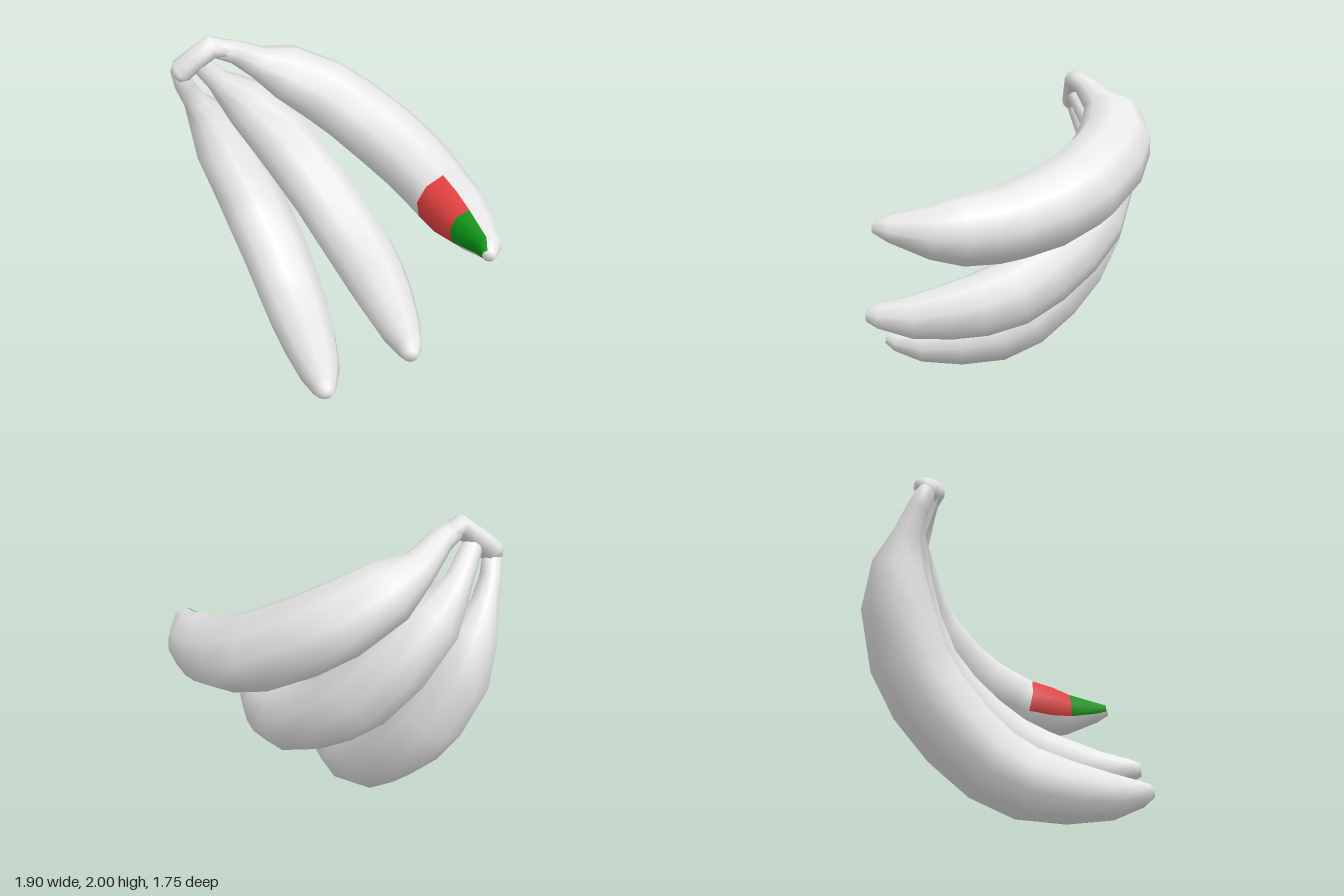
import * as THREE from 'three';

const SIDES = 10;
const skin = new THREE.MeshStandardMaterial({ color: 0xebebeb, name: 'pale grey' });
const red = new THREE.MeshStandardMaterial({ color: 0xe34040, name: 'red' });
const green = new THREE.MeshStandardMaterial({ color: 0x0c9614, name: 'green' });

// Skins round sections [x, y, z, radius]; squash scales them across the bend,
// patch(i, j) picks the material of each face.
function loft(name, rows, squash = 1, patch = () => 0) {
  const pts = rows.map(r => new THREE.Vector3(r[0], r[1], r[2]));
  const n = pts.length, mid = pts[Math.floor(n / 2)];
  const bend = mid.clone().sub(pts[0]).cross(pts[n - 1].clone().sub(mid)).normalize();
  const pos = [], faces = [[], [], []];
  rows.forEach((r, i) => {
    const t = pts[Math.min(i + 1, n - 1)].clone().sub(pts[Math.max(i - 1, 0)]).normalize();
    const u = bend.clone().addScaledVector(t, -bend.dot(t)).normalize();
    const v = t.clone().cross(u);
    for (let j = 0; j < SIDES; j++) {
      const a = j / SIDES * Math.PI * 2 + 0.14;
      const p = pts[i].clone().addScaledVector(u, Math.cos(a) * r[3] * squash).addScaledVector(v, Math.sin(a) * r[3]);
      pos.push(p.x, p.y, p.z);
    }
  });
  const start = n * SIDES, end = start + 1;
  for (const p of [pts[0], pts[n - 1]]) pos.push(p.x, p.y, p.z);
  for (let j = 0; j < SIDES; j++) {
    const k = (j + 1) % SIDES;
    for (let i = 0; i < n - 1; i++) {
      const a = i * SIDES + j, b = i * SIDES + k;
      faces[patch(i, j)].push(a, b, a + SIDES, b, b + SIDES, a + SIDES);
    }
    faces[0].push(start, k, j, end, (n - 1) * SIDES + j, (n - 1) * SIDES + k);
  }
  const g = new THREE.BufferGeometry();
  g.setAttribute('position', new THREE.Float32BufferAttribute(pos, 3));
  g.setIndex(faces.flat());
  let offset = 0;
  faces.forEach((f, m) => {
    if (f.length) g.addGroup(offset, f.length, m);
    offset += f.length;
  });
  g.computeVertexNormals();
  const mesh = new THREE.Mesh(g, [skin, red, green]);
  mesh.name = name;
  return mesh;
}

export function createModel() {
  const group = new THREE.Group();
  group.name = 'bananaBunch';

  // Upper banana, with a red and a green patch inside its tip
  group.add(loft('upperBanana', [
    [-0.68, 1.935, -0.47, 0.06], [-0.55, 1.875, -0.535, 0.08], [-0.4, 1.755, -0.62, 0.115],
    [-0.22, 1.655, -0.67, 0.2], [0.03, 1.51, -0.65, 0.24], [0.21, 1.4, -0.57, 0.25],
    [0.43, 1.26, -0.39, 0.255], [0.575, 1.17, -0.2, 0.245], [0.67, 1.11, 0, 0.23],
    [0.71, 1.085, 0.11, 0.22], [0.76, 1.07, 0.28, 0.205], [0.795, 1.07, 0.44, 0.158],
    [0.82, 1.095, 0.66, 0.08], [0.795, 1.1, 0.74, 0.04],
  ], 0.91, (i, j) => (j < 6 || j > 8 || i < 9 || i > 12 ? 0 : i < 11 ? 1 : 2)));

  // Middle banana
  group.add(loft('middleBanana', [
    [-0.77, 1.84, -0.48, 0.06], [-0.66, 1.66, -0.58, 0.08], [-0.49, 1.46, -0.65, 0.175],
    [-0.3, 1.23, -0.63, 0.215], [-0.13, 1.0, -0.53, 0.225], [0, 0.84, -0.38, 0.225],
    [0.11, 0.7, -0.2, 0.222], [0.21, 0.59, 0, 0.217], [0.27, 0.53, 0.2, 0.2],
    [0.307, 0.5, 0.38, 0.175], [0.34, 0.475, 0.6, 0.135], [0.357, 0.49, 0.8, 0.08],
    [0.35, 0.495, 0.87, 0.045],
  ]));

  // Lower banana
  group.add(loft('lowerBanana', [
    [-0.89, 1.78, -0.48, 0.055], [-0.87, 1.66, -0.53, 0.064], [-0.82, 1.52, -0.59, 0.08],
    [-0.74, 1.36, -0.64, 0.15], [-0.66, 1.13, -0.64, 0.207], [-0.54, 0.85, -0.57, 0.23],
    [-0.46, 0.66, -0.46, 0.235], [-0.37, 0.47, -0.29, 0.235], [-0.3, 0.31, -0.1, 0.227],
    [-0.245, 0.22, 0.1, 0.215], [-0.2, 0.178, 0.35, 0.182], [-0.165, 0.165, 0.6, 0.135],
    [-0.155, 0.185, 0.77, 0.078], [-0.15, 0.205, 0.83, 0.042],
  ]));

  // Crown joining the three stems, deeper than it is thick
  group.add(loft('crown', [
    [-0.91, 1.755, -0.48, 0.045], [-0.88, 1.79, -0.48, 0.066], [-0.78, 1.87, -0.475, 0.062],
    [-0.68, 1.94, -0.475, 0.064], [-0.58, 1.9, -0.515, 0.05],
  ], 1.3));
  return group;
}
